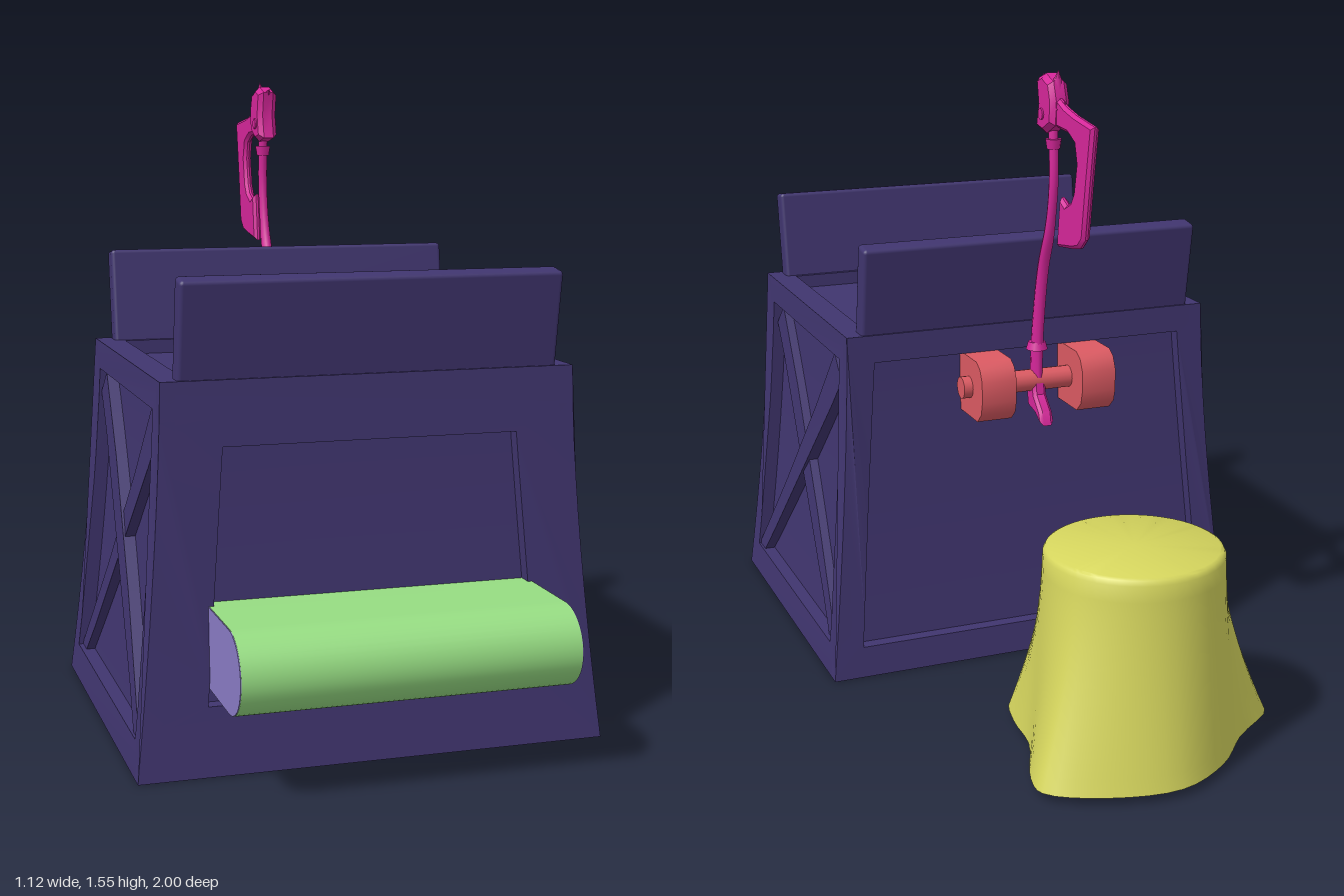
import * as THREE from 'three';
import { toCreasedNormals } from 'three/addons/utils/BufferGeometryUtils.js';
import { RoundedBoxGeometry } from 'three/addons/geometries/RoundedBoxGeometry.js';

const INDIGO = 0x40356f, RED = 0xdb5a62, MAGENTA = 0xd6269a, YELLOW = 0xd6d65e, GREEN = 0x96dc82, LILAC = 0x8a7cc6;
const H = 0.89, CZ = 0.302, DEPTH = 0.035;

// Half-widths of the flared crate at height y
const flare = (y) => Math.pow(Math.max(0, 1 - y / H), 1.5);
const halfX = (y) => 0.49 + 0.07 * flare(y);
const halfZ = (y) => 0.393 + 0.0545 * flare(y);

function add(parent, name, geometry, color) {
  const mesh = new THREE.Mesh(geometry, new THREE.MeshStandardMaterial({ color }));
  mesh.name = name;
  parent.add(mesh);
  return mesh;
}

const toShape = (pts) => new THREE.Shape(pts.map(([x, y]) => new THREE.Vector2(x, y)));

// Extrudes an outline given in (z, y) along x, centred on x = 0
function slab(pts, width, bevel = 0) {
  const g = new THREE.ExtrudeGeometry(toShape(pts), {
    depth: width - 2 * bevel, bevelEnabled: bevel > 0, bevelSize: bevel, bevelThickness: bevel,
    bevelOffset: -bevel, bevelSegments: 1,
  });
  g.translate(0, 0, bevel - width / 2);
  g.rotateY(-Math.PI / 2);
  return toCreasedNormals(g, 0.6);
}

// Symmetric outline whose half-width follows a rule of y
function sides(half, y0, y1, n = 10) {
  const right = [], left = [];
  for (let i = 0; i <= n; i++) {
    const y = y0 + (y1 - y0) * i / n;
    right.push([half(y), y]);
    left.unshift([-half(y), y]);
  }
  return right.concat(left);
}

// Extrudes a wall shape and bends it onto the flared face
function onFace(shape, out, depth, inset = 0) {
  const g = new THREE.ExtrudeGeometry(shape, { depth, bevelEnabled: false });
  const p = g.attributes.position;
  for (let i = 0; i < p.count; i++) p.setZ(i, out(p.getY(i)) - inset - depth + p.getZ(i));
  g.computeVertexNormals();
  return toCreasedNormals(g, 0.4);
}

function wallFrame(across, out, y0, y1, w0, w1) {
  const shape = toShape(sides(across, 0, H));
  const hole = (y) => w0 + (w1 - w0) * (y - y0) / (y1 - y0);
  shape.holes.push(new THREE.Path(toShape(sides(hole, y0, y1)).getPoints()));
  return onFace(shape, out, DEPTH);
}

// Diagonal board, its long edges split to follow the flare
function braceBoard(sign, inset) {
  const pts = [], n = 8;
  const low = [[-0.385, 0.08], [-0.325, 0.08]], high = [[0.265, 0.82], [0.328, 0.76]];
  for (const [e, from, to] of [[1, 0, n], [0, n, 0]]) {
    for (let k = 0; k <= n; k++) {
      const t = (from + (to - from) * k / n) / n;
      pts.push([sign * (low[e][0] + (high[e][0] - low[e][0]) * t), low[e][1] + (high[e][1] - low[e][1]) * t]);
    }
  }
  return onFace(toShape(pts), halfX, DEPTH - inset + 0.005, inset);
}

function buildCrate() {
  const crate = new THREE.Group();
  crate.name = 'crate';
  crate.position.z = CZ;

  // Inner panels form one flared core
  const core = new THREE.BoxGeometry(2, H - 0.035, 2, 1, 10, 1);
  core.translate(0, (H - 0.035) / 2, 0);
  const p = core.attributes.position;
  for (let i = 0; i < p.count; i++) {
    const y = p.getY(i);
    p.setX(i, Math.sign(p.getX(i)) * (halfX(y) - DEPTH + 0.001));
    p.setZ(i, Math.sign(p.getZ(i)) * (halfZ(y) - DEPTH + 0.001));
  }
  add(crate, 'innerPanels', toCreasedNormals(core, 0.4), INDIGO);

  // Frames around each wall
  add(crate, 'frontFrame', wallFrame(halfX, halfZ, 0.16, 0.74, 0.395, 0.35), INDIGO);
  add(crate, 'backFrame', wallFrame(halfX, halfZ, 0.08, 0.82, 0.48, 0.42), INDIGO).rotation.y = Math.PI;
  for (const s of [1, -1]) {
    const side = new THREE.Group();
    side.name = s > 0 ? 'leftWall' : 'rightWall';
    side.rotation.y = s * Math.PI / 2;
    add(side, 'sideFrame', wallFrame(halfZ, halfX, 0.08, 0.82, 0.375, 0.325), INDIGO);
    add(side, 'longBrace', braceBoard(s, 0.006), INDIGO);
    add(side, 'crossBrace', braceBoard(-s, 0.012), INDIGO);
    crate.add(side);
  }

  // Rim of the lid
  const rect = (x, z) => [[x, -z], [x, z], [-x, z], [-x, -z]];
  const rim = toShape(rect(0.49, 0.393));
  rim.holes.push(new THREE.Path(toShape(rect(0.425, 0.32)).getPoints()));
  const rimGeo = new THREE.ExtrudeGeometry(rim, { depth: 0.04, bevelEnabled: false });
  rimGeo.rotateX(-Math.PI / 2);
  add(crate, 'topRim', rimGeo, INDIGO).position.y = H - 0.04;

  // Boards leaning outward on the rim
  for (const s of [1, -1]) {
    const board = add(crate, s > 0 ? 'frontBoard' : 'backBoard', new RoundedBoxGeometry(0.9, 0.255, 0.055, 2, 0.01), INDIGO);
    board.position.set(0, 0.99, s * 0.376);
    board.rotation.x = s * 0.16;
  }
  return crate;
}

// Padded roll sticking out of the front recess
function buildRoll() {
  const roll = new THREE.Group();
  roll.name = 'frontRoll';
  const outline = [[0.66, 0.198], [0.66, 0.386]];
  for (let i = 0; i <= 20; i++) {
    const a = Math.PI / 2 - Math.PI * i / 20;
    outline.push([0.9 + 0.1 * Math.cos(a), 0.292 + 0.094 * Math.sin(a)]);
  }
  add(roll, 'rollCover', slab(outline, 0.776), GREEN);
  add(roll, 'rollEnds', slab(outline.map(([z, y]) => [0.85 + (z - 0.85) * 0.995, 0.292 + (y - 0.292) * 0.99]), 0.78), LILAC);
  return roll;
}

// Bracket with two lugs and an axle
function buildBracket() {
  const bracket = new THREE.Group();
  bracket.name = 'bracket';
  const lug = [[-0.05, 0.665], [-0.185, 0.665], [-0.212, 0.69], [-0.22, 0.72], [-0.22, 0.775], [-0.205, 0.805], [-0.18, 0.82], [-0.05, 0.82]];
  for (const s of [1, -1]) add(bracket, 'bracketLug', slab(lug, 0.092), RED).position.x = s * 0.136;
  const axle = add(bracket, 'axle', new THREE.CylinderGeometry(0.028, 0.028, 0.41, 16), RED);
  axle.rotation.z = Math.PI / 2;
  axle.position.set(0, 0.742, -0.128);
  return bracket;
}

function buildAxe() {
  const axe = new THREE.Group();
  axe.name = 'axe';

  // Curved handle, thicker at the grip
  const curve = new THREE.CatmullRomCurve3([[-0.13, 0.69], [-0.135, 0.84], [-0.172, 1.04], [-0.215, 1.15], [-0.238, 1.27], [-0.236, 1.36], [-0.225, 1.45]]
    .map(([z, y]) => new THREE.Vector3(0, y, z)));
  const n = 32, m = 10;
  const handle = new THREE.TubeGeometry(curve, n, 1, m);
  const p = handle.attributes.position, v = new THREE.Vector3();
  for (let i = 0; i <= n; i++) {
    const c = curve.getPointAt(i / n), r = 0.026 - 0.014 * Math.min(1, i / n * 1.5);
    for (let j = 0; j <= m; j++) {
      const k = i * (m + 1) + j;
      v.fromBufferAttribute(p, k).sub(c).multiplyScalar(r);
      p.setXYZ(k, v.x * Math.min(1, 0.0145 / r), c.y + v.y, c.z + v.z);
    }
  }
  handle.computeVertexNormals();
  add(axe, 'handle', handle, MAGENTA);
  add(axe, 'pommel', slab([[-0.1, 0.74], [-0.115, 0.67], [-0.165, 0.66], [-0.207, 0.64], [-0.198, 0.675], [-0.16, 0.71], [-0.155, 0.74]], 0.036, 0.008), MAGENTA);
  add(axe, 'gripCollar', new THREE.CylinderGeometry(0.022, 0.028, 0.02, 10), MAGENTA).position.set(0, 0.835, -0.134);
  add(axe, 'neckCollar', new THREE.CylinderGeometry(0.02, 0.016, 0.025, 10), MAGENTA).position.set(0, 1.365, -0.236);

  // Head block with rivet and spikes
  add(axe, 'axeHead', slab([[-0.178, 1.52], [-0.19, 1.46], [-0.175, 1.40], [-0.225, 1.39], [-0.278, 1.415], [-0.282, 1.475], [-0.265, 1.52], [-0.245, 1.525], [-0.22, 1.535]], 0.05, 0.012), MAGENTA);
  const rivet = add(axe, 'rivet', new THREE.CylinderGeometry(0.014, 0.014, 0.058, 12), MAGENTA);
  rivet.rotation.z = Math.PI / 2;
  rivet.position.set(0, 1.437, -0.22);
  for (const [z, y, tilt] of [[-0.26, 1.525, -0.2], [-0.292, 1.465, -1.2], [-0.187, 1.515, 0.9]]) {
    const spike = add(axe, 'spike', new THREE.ConeGeometry(0.018, 0.045, 6), MAGENTA);
    spike.position.set(0, y, z);
    spike.rotation.x = tilt;
  }

  // Hooked blade
  add(axe, 'blade', slab([[-0.265, 1.485], [-0.32, 1.465], [-0.38, 1.452], [-0.485, 1.438], [-0.46, 1.3], [-0.438, 1.165], [-0.41, 1.14], [-0.36, 1.13], [-0.28, 1.12],
    [-0.297, 1.245], [-0.33, 1.23], [-0.362, 1.245], [-0.38, 1.27], [-0.395, 1.34], [-0.382, 1.385], [-0.34, 1.405], [-0.265, 1.41]], 0.022, 0.008), MAGENTA);
  return axe;
}

// Draped cover: round on top, blending to an uneven hem
function buildCover() {
  const hem = new THREE.CatmullRomCurve3([[0, 0.255], [0.14, 0.295], [0.2, 0.275], [0.23, 0.175], [0.24, 0.055], [0.3, -0.105], [0.3, -0.175], [0.17, -0.25],
    [0, -0.275], [-0.14, -0.205], [-0.24, -0.1], [-0.365, 0.005], [-0.32, 0.045], [-0.22, 0.125], [-0.13, 0.225]]
    .map(([x, z]) => new THREE.Vector3(x, 0, z)), true);
  const y0 = 0.02, y1 = 0.505, rows = 12, n = 60;
  const profile = [new THREE.Vector2(0, y0)];
  for (let j = 0; j <= rows; j++) profile.push(new THREE.Vector2(1, y0 + (y1 - 0.015 - y0) * j / rows));
  profile.push(new THREE.Vector2(0.975, y1 - 0.004), new THREE.Vector2(0.94, y1), new THREE.Vector2(0, y1));
  const g = new THREE.LatheGeometry(profile, n);
  const p = g.attributes.position;
  for (let i = 0; i <= n; i++) {
    const edge = hem.getPoint((i % n) / n), length = edge.length();
    profile.forEach(({ x, y }, j) => {
      const f = Math.pow(1 - (y - y0) / (y1 - y0), 1.5);
      const r = x * (0.212 + (length - 0.212) * f) / length;
      p.setXYZ(i * profile.length + j, edge.x * r, y, edge.z * r);
    });
  }
  const cover = new THREE.Group();
  cover.name = 'drapedCover';
  cover.position.z = -0.725;
  add(cover, 'cloth', toCreasedNormals(g, 0.8), YELLOW);
  return cover;
}

export function createModel() {
  const model = new THREE.Group();
  model.name = 'crateWithAxe';
  model.add(buildCrate(), buildRoll(), buildBracket(), buildAxe(), buildCover());
  return model;
}
